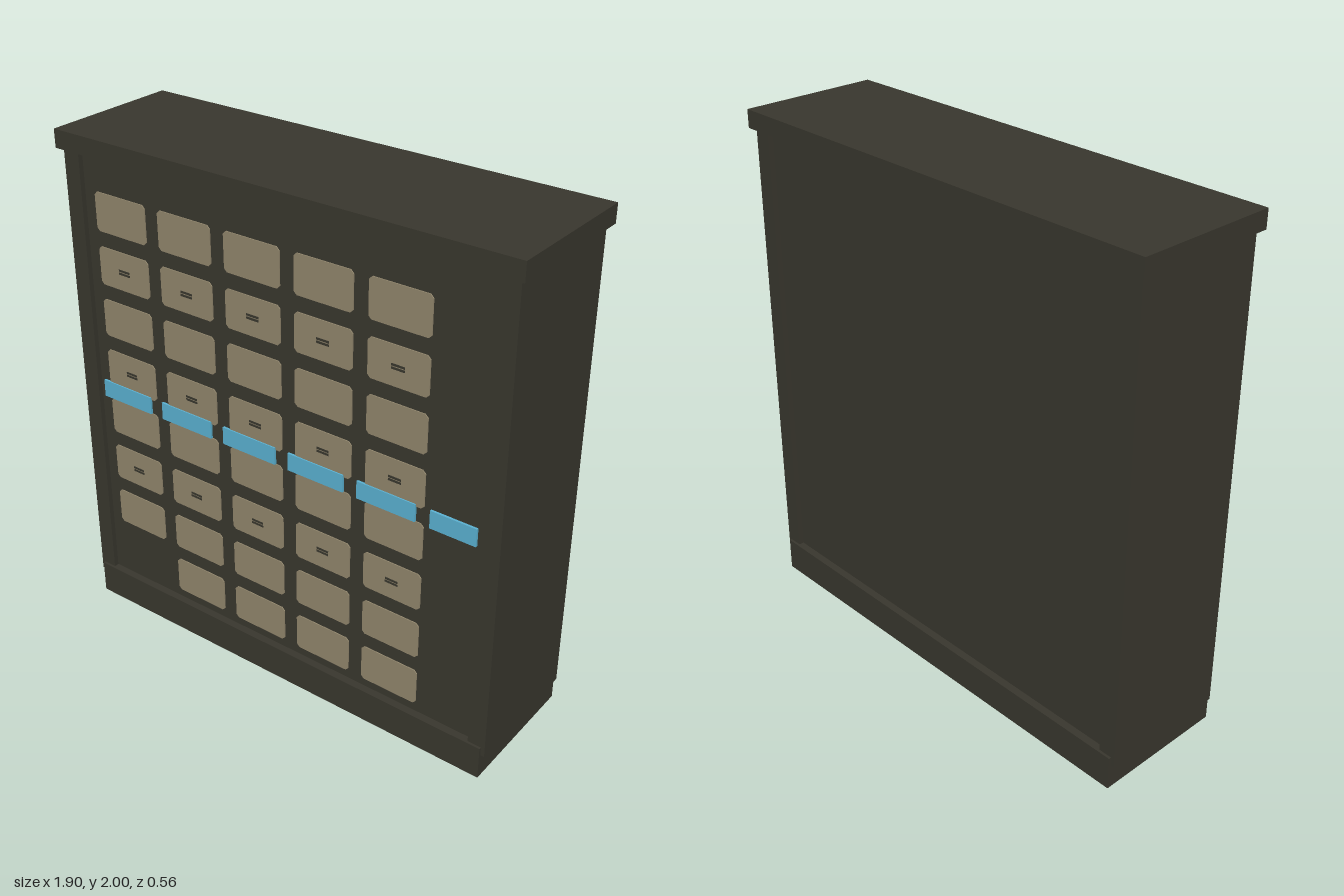
import * as THREE from 'three';

const dark = new THREE.MeshStandardMaterial({ color: 0x39372e });
dark.name = 'dark casing';
const beige = new THREE.MeshStandardMaterial({ color: 0x91866c });
beige.name = 'beige plate';
const blue = new THREE.MeshStandardMaterial({ color: 0x5bb1d2 });
blue.name = 'blue strip';

const PANEL_Z = 0.24; // half depth of the recessed panel

export function createModel() {
  const model = new THREE.Group();
  model.name = 'cabinet';

  // Box given by its lower and upper corners
  function box(name, material, [x0, y0, z0], [x1, y1, z1], parent = model) {
    const mesh = new THREE.Mesh(new THREE.BoxGeometry(x1 - x0, y1 - y0, z1 - z0), material);
    mesh.position.set((x0 + x1) / 2, (y0 + y1) / 2, (z0 + z1) / 2);
    mesh.name = name;
    parent.add(mesh);
  }

  // Casing: cap, recessed body and side walls
  box('cap', dark, [-0.95, 1.93, -0.28], [0.95, 2, 0.28]);
  box('body', dark, [-0.86, 0.1, -PANEL_Z], [0.86, 1.93, PANEL_Z]);
  box('leftSide', dark, [0.86, 0.1, -0.26], [0.93, 1.93, 0.26]);
  box('rightSide', dark, [-0.93, 0.1, -0.26], [-0.86, 1.93, 0.26]);

  // Hollow plinth, open underneath
  const plinth = new THREE.Group();
  plinth.name = 'plinth';
  model.add(plinth);
  const t = 0.01;
  box('plinthFront', dark, [-0.915, 0, 0.27 - t], [0.915, 0.135, 0.27], plinth);
  box('plinthBack', dark, [-0.915, 0, -0.27], [0.915, 0.135, t - 0.27], plinth);
  box('plinthLeft', dark, [0.915 - t, 0, t - 0.27], [0.915, 0.135, 0.27 - t], plinth);
  box('plinthRight', dark, [-0.915, 0, t - 0.27], [t - 0.915, 0.135, 0.27 - t], plinth);
  box('plinthTop', dark, [-0.915, 0.13, -0.27], [0.915, 0.135, 0.27], plinth);

  // Plate outline with clipped corners
  const w = 0.12, h = 0.075, c = 0.012;
  const outline = new THREE.Shape([
    [-w + c, -h], [w - c, -h], [w, -h + c], [w, h - c],
    [w - c, h], [-w + c, h], [-w, h - c], [-w, -h + c],
  ].map(([x, y]) => new THREE.Vector2(x, y)));
  const plateGeometry = new THREE.ExtrudeGeometry(outline, { depth: 0.004, bevelEnabled: false });

  // Grid of plates; every second row carries a small pair of slots
  for (let row = 0; row < 8; row++) {
    for (let col = 0; col < 5; col++) {
      if (row === 7 && col === 0) continue;
      const x = -0.69 + col * 0.299;
      const y = 1.715 - row * 0.21;
      const plate = new THREE.Mesh(plateGeometry, beige);
      plate.name = 'plate';
      plate.position.set(x, y, PANEL_Z);
      model.add(plate);
      if (row % 2 === 1 && row < 7) {
        for (const dy of [-0.006, 0.006]) {
          const yc = y - 0.003 + dy;
          box('slot', dark, [x - 0.026, yc - 0.004, PANEL_Z], [x + 0.026, yc + 0.004, PANEL_Z + 0.006]);
        }
      }
    }
  }

  // Broken blue strip across the front
  for (let i = 0; i < 6; i++) {
    const x = -0.838 + i * 0.298;
    box('blueStrip', blue, [x, 0.95, PANEL_Z], [Math.min(x + 0.24, 0.833), 1.02, PANEL_Z + 0.009]);
  }

  return model;
}
